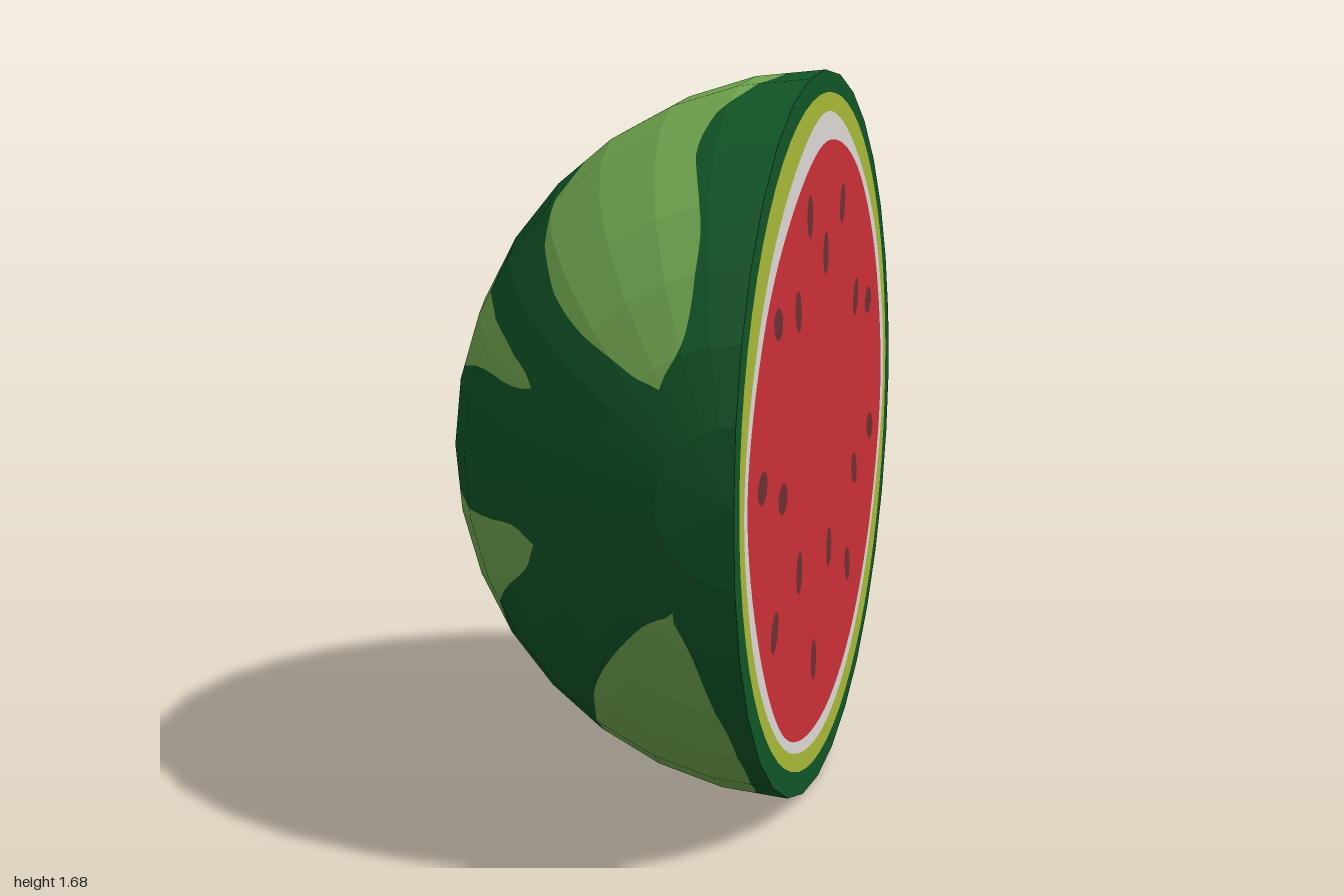
import * as THREE from 'three';

const mat = (name, color) => {
  const m = new THREE.MeshStandardMaterial({ color });
  m.name = name;
  return m;
};

const CUT_X = 0.42, MID_Y = 0.843, R = 0.842;   // cut plane, centre height, girth radius
const D = 11.25;                                // facet size in degrees
const rad = THREE.MathUtils.degToRad, clamp = THREE.MathUtils.clamp;

// Facet corner: t runs tip to tip along z, phi goes from the top over the dome (-x) to the bottom
function corner(t, phi) {
  const c = Math.cos(rad(t)), p = rad(phi);
  return new THREE.Vector3(
    CUT_X - R * c * Math.sin(p), MID_Y + R * c * Math.cos(p), Math.sin(rad(t)) + 0.03 * c);
}

// Point on the faceted skin
function skin(t, phi) {
  const i = clamp(Math.floor(t / D), -8, 7) * D;
  const j = clamp(Math.floor(phi / D), 0, 15) * D;
  const u = (t - i) / D, v = (phi - j) / D;
  const a = corner(i, j).lerp(corner(i + D, j), u);
  const b = corner(i, j + D).lerp(corner(i + D, j + D), u);
  return a.lerp(b, v);
}

// Stripe edge as a function of t: a spline between the tips, with stations closer near the tips
function edge(from, phis, to) {
  const all = [from[1], ...phis, to[1]], last = all.length - 1;
  const pts = new THREE.SplineCurve(all.map((phi, k) => new THREE.Vector2(
    from[0] + (to[0] - from[0]) * (1 - Math.cos(Math.PI * k / last)) / 2, phi))).getPoints(240);
  return t => {
    const i = pts.findIndex(p => p.x >= t);
    if (i < 0) return to[1];
    if (i === 0) return from[1];
    const a = pts[i - 1], b = pts[i];
    return a.y + (b.y - a.y) * (t - a.x) / (b.x - a.x);
  };
}

// Strip of skin between two edges, cut along the facet lines so every facet stays flat
function band(lo, hi) {
  const pos = [], step = D / 8;
  const tri = (a, b, c) => {
    const area = b.clone().sub(a).cross(c.clone().sub(a)).length();
    if (area > 1e-8) for (const p of [a, b, c]) pos.push(p.x, p.y, p.z);
  };
  for (let n = 0; n < 128; n++) {
    const t0 = -90 + n * step, t1 = t0 + step;
    const l0 = lo(t0), h0 = Math.max(l0, hi(t0)), l1 = lo(t1), h1 = Math.max(l1, hi(t1));
    for (let k = 0; k < 16; k++) {
      const a0 = clamp(k * D, l0, h0), b0 = clamp((k + 1) * D, l0, h0);
      const a1 = clamp(k * D, l1, h1), b1 = clamp((k + 1) * D, l1, h1);
      const A = skin(t0, a0), B = skin(t0, b0), C = skin(t1, b1), E = skin(t1, a1);
      tri(A, B, C);
      tri(A, C, E);
    }
  }
  const g = new THREE.BufferGeometry();
  g.setAttribute('position', new THREE.Float32BufferAttribute(pos, 3));
  g.computeVertexNormals();
  return g;
}

// Pale stripes: back and front tip as [t, phi], and phi of both edges between them
const STRIPES = [
  { from: [-62, 22], to: [70, 36],
    upper: [16, 10, 10, 6.5, 14.5, 13, 20], lower: [27, 32, 36, 37, 46, 49, 43] },
  { from: [-67, 48], to: [52, 67.4],
    upper: [50, 53.5, 55, 55, 62, 63.5, 65], lower: [56, 63, 68, 73, 77.5, 72.5, 70] },
  { from: [-69, 95], to: [54.5, 105.5],
    upper: [93, 91.5, 90, 94.5, 97, 99.5, 100.5], lower: [104, 117.5, 124, 126, 124, 116, 111.5] },
  { from: [-67, 150], to: [71, 149],
    upper: [147, 144, 146, 146, 146, 141, 142], lower: [158, 166, 169, 169, 175.5, 174, 163] },
];

// Seeds: z, y, tilt
const SEEDS = [
  [.205, 1.36, .1], [-.22, 1.36, -.3], [0, 1.26, 0], [.56, 1.16, 1.4],
  [.335, 1.16, .4], [-.43, 1.11, -.5], [-.625, 1.08, 1.7], [.715, .835, 1.7],
  [.495, .77, 1.5], [-.68, .74, 1.3], [-.44, .67, .8], [.295, .56, -.1],
  [.575, .49, -.7], [-.085, .54, 0], [-.355, .44, .5], [.105, .31, .1]];

const ellipse = (z, y, rx, ry, tilt, n) => new THREE.EllipseCurve(
  -z, y, rx, ry, 0, Math.PI * 2, false, tilt).getPoints(n).slice(0, -1);

// Uneven ellipse: one radius factor every 30 degrees, starting at +z and going over the top
function unevenEllipse(y, rx, ry, factors) {
  const pts = factors.map((f, k) => new THREE.Vector3(
    -rx * f * Math.cos(rad(30 * k)), y + ry * f * Math.sin(rad(30 * k)), 0));
  return new THREE.CatmullRomCurve3(pts, true).getPoints(96).slice(0, -1)
    .map(p => new THREE.Vector2(p.x, p.y));
}

export function createModel() {
  const group = new THREE.Group();
  const dark = mat('dark green rind', 0x115527), pale = mat('light green stripe', 0x72a850);
  const lime = mat('lime inner rind', 0xa7b838), white = mat('white pith', 0xdcd8d5);
  const red = mat('red flesh', 0xcb3038), brown = mat('brown seed', 0x6e3032);

  const add = (name, geo, material, parent) => {
    const m = new THREE.Mesh(geo, material);
    m.name = name;
    parent.add(m);
  };

  // Domed rind: pale stripes with dark bands between them
  let prev = () => 0;
  STRIPES.forEach(({ from, to, upper, lower }, i) => {
    const lo = edge(from, upper, to), hi = edge(from, lower, to);
    add('rindBand' + (i + 1), band(prev, lo), dark, group);
    add('rindStripe' + (i + 1), band(lo, hi), pale, group);
    prev = hi;
  });
  add('rindBand5', band(prev, () => 180), dark, group);

  // Flat cut face: nested rings, each with the next one cut out of it
  const face = new THREE.Group();
  face.name = 'cutFace';
  face.position.x = CUT_X;
  face.rotation.y = Math.PI / 2;
  group.add(face);

  const rim = [];
  for (let i = -8; i <= 8; i++) rim.push(corner(i * D, 0));
  for (let i = 7; i > -8; i--) rim.push(corner(i * D, 180));
  const outer = rim.map(p => new THREE.Vector2(-p.z, p.y));
  const limeLine = ellipse(0.005, MID_Y, 0.943, 0.79, 0, 64);
  const pithLine = unevenEllipse(0.84, 0.9, 0.745,
    [1, .95, .945, 1.005, .97, .985, 1, .955, .967, .99, 1.005, 1]);
  const fleshLine = unevenEllipse(0.83, 0.86, 0.69,
    [1.01, .955, .935, 1, 1.01, .995, .995, .96, .97, 1, 1.03, .99]);
  const seedLines = SEEDS.map(([z, y, tilt]) => ellipse(z, y, 0.035, 0.05, tilt, 14));

  const plate = (name, outline, holes, material) => {
    const s = new THREE.Shape(outline);
    s.holes = holes.map(h => new THREE.Path(h));
    add(name, new THREE.ShapeGeometry(s), material, face);
  };
  plate('rindRing', outer, [limeLine], dark);
  plate('innerRindRing', limeLine, [pithLine], lime);
  plate('pithRing', pithLine, [fleshLine], white);
  plate('flesh', fleshLine, seedLines, red);
  seedLines.forEach((line, i) => plate('seed' + (i + 1), line, [], brown));

  return group;
}
